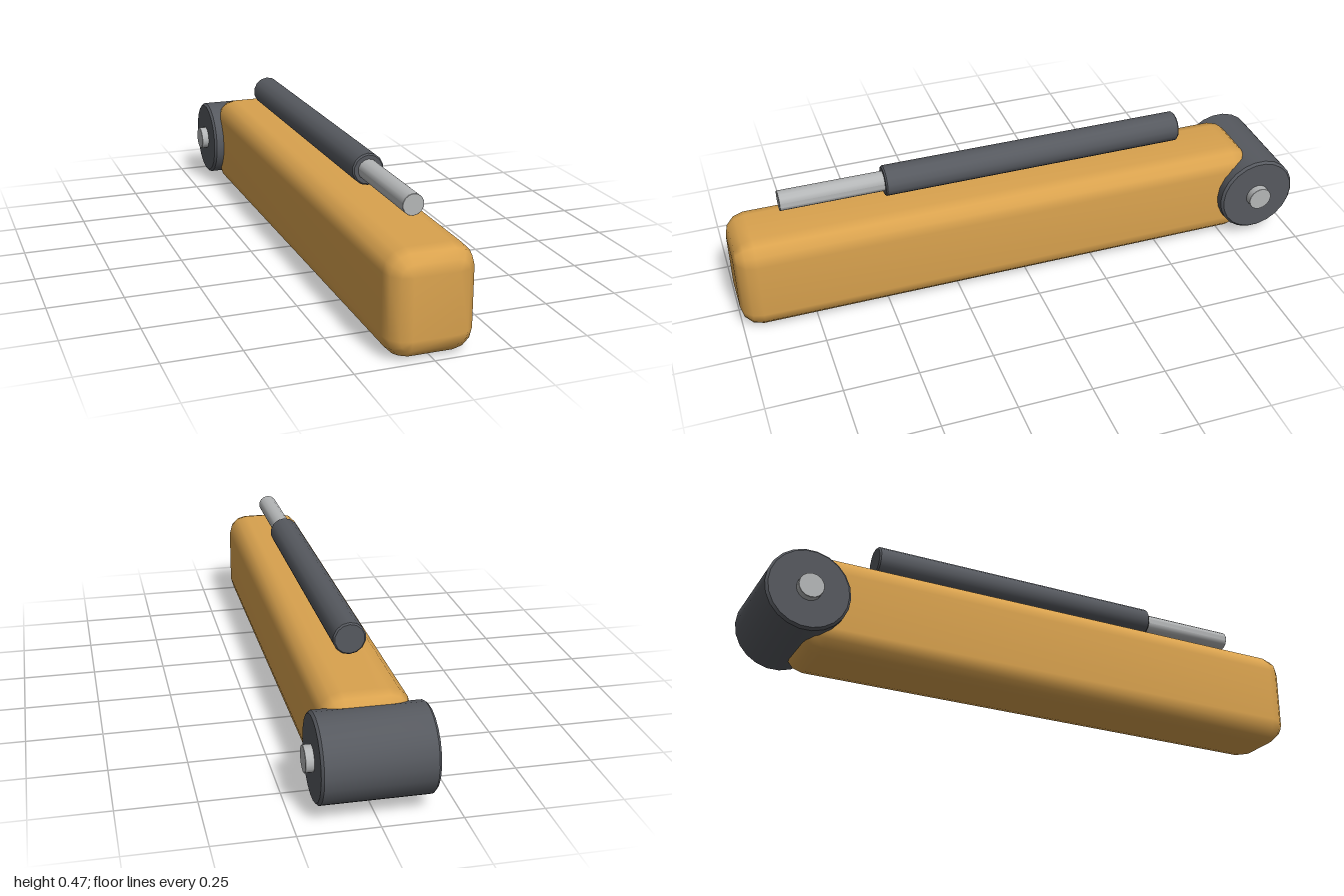
import * as THREE from 'three';
import { mergeVertices, toCreasedNormals } from 'three/addons/utils/BufferGeometryUtils.js';

// Capped cylinder along y with a small chamfer on both rims
function chamferedCylinder(radius, length, sides, chamfer) {
  const h = length / 2;
  const profile = [
    [0, -h], [radius - chamfer, -h], [radius, -h + chamfer],
    [radius, h - chamfer], [radius - chamfer, h], [0, h],
  ].map(([x, y]) => new THREE.Vector2(x, y));
  return toCreasedNormals(new THREE.LatheGeometry(profile, sides), 0.6);
}

// Beam along z with round edges, lofted from rounded-rectangle sections
function roundedBeam(width, height, length, radius, steps) {
  const hx = width / 2 - radius, hy = height / 2 - radius, hz = length / 2 - radius;
  const corners = [[1, 1], [-1, 1], [-1, -1], [1, -1]];
  const positions = [], index = [];
  const count = 4 * (steps + 1);
  const quarter = Math.PI / 2;
  for (const end of [-1, 1]) {
    for (let s = 0; s <= steps; s++) {
      const phi = quarter * (end < 0 ? steps - s : s) / steps;
      const r = radius * Math.cos(phi);
      const z = end * (hz + radius * Math.sin(phi));
      corners.forEach(([sx, sy], c) => {
        for (let k = 0; k <= steps; k++) {
          const a = quarter * (c + k / steps);
          positions.push(sx * hx + r * Math.cos(a), sy * hy + r * Math.sin(a), z);
        }
      });
    }
  }
  const rings = 2 * (steps + 1);
  for (let j = 0; j < rings - 1; j++) {
    for (let i = 0; i < count; i++) {
      const n = (i + 1) % count;
      const a = j * count + i, b = j * count + n;
      index.push(a, b, b + count, a, b + count, a + count);
    }
  }
  // Flat ends
  const q = steps + 1, last = (rings - 1) * count;
  index.push(0, 2 * q, q, 0, 3 * q, 2 * q);
  index.push(last, last + q, last + 2 * q, last, last + 2 * q, last + 3 * q);

  const geometry = new THREE.BufferGeometry();
  geometry.setAttribute('position', new THREE.Float32BufferAttribute(positions, 3));
  geometry.setIndex(index);
  const merged = mergeVertices(geometry, 1e-4);
  merged.computeVertexNormals();
  return merged;
}

export function createModel() {
  const group = new THREE.Group();
  const material = (name, color) => {
    const m = new THREE.MeshStandardMaterial({ color });
    m.name = name;
    return m;
  };
  const orange = material('orangePaint', 0xd9a24e);
  const dark = material('darkSteel', 0x56595f);
  const light = material('lightSteel', 0xb4b6b7);

  const add = (name, geometry, mat, x, y, z) => {
    const mesh = new THREE.Mesh(geometry, mat);
    mesh.name = name;
    mesh.position.set(x, y, z);
    group.add(mesh);
  };

  // Main arm
  add('arm', roundedBeam(0.282, 0.336, 1.85, 0.07, 3), orange, 0, 0.168, 0.075);

  // Pivot at the back, with a pin through it
  add('pivotHub', chamferedCylinder(0.14, 0.354, 22, 0.008).rotateZ(-Math.PI / 2), dark, 0, 0.17, -0.86);
  add('pivotPin', chamferedCylinder(0.042, 0.406, 16, 0.001).rotateZ(-Math.PI / 2), light, 0, 0.17, -0.86);

  // Hydraulic cylinder above the arm
  add('hydraulicBarrel', chamferedCylinder(0.0525, 1.06, 14, 0.005).rotateX(Math.PI / 2), dark, 0, 0.417, -0.06);
  add('hydraulicRod', chamferedCylinder(0.0345, 0.42, 14, 0.001).rotateX(Math.PI / 2), light, 0, 0.417, 0.612);

  return group;
}
